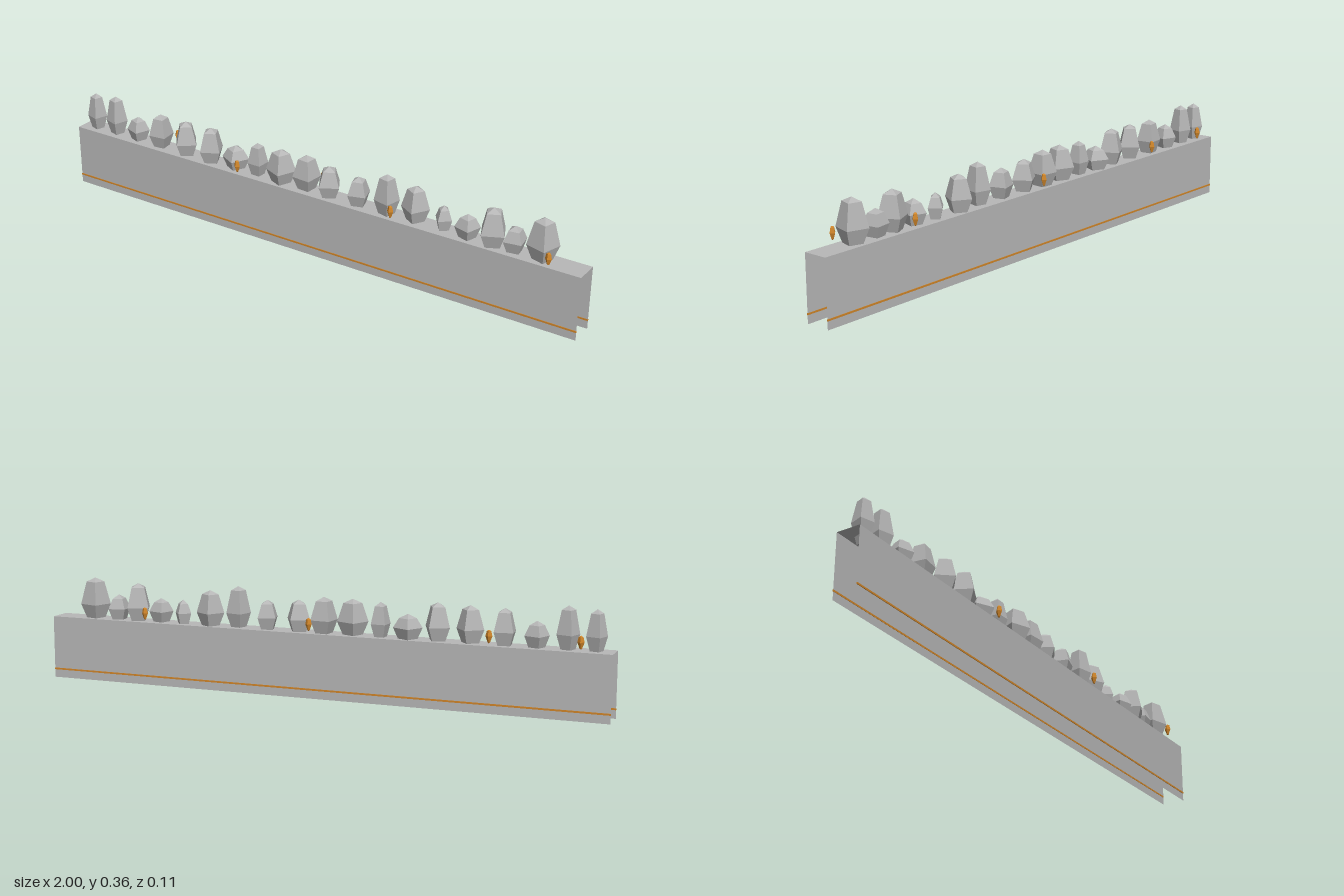
import * as THREE from 'three';

const stoneMat = new THREE.MeshStandardMaterial({ color: 0xb6b6b6, flatShading: true });
stoneMat.name = 'cut stone';
const bandMat = new THREE.MeshStandardMaterial({ color: 0xb8b8b8, side: THREE.DoubleSide });
bandMat.name = 'band grey';
const amberMat = new THREE.MeshStandardMaterial({ color: 0xd0862a, flatShading: true });
amberMat.name = 'amber';

const HALF_DEPTH = 0.042, TOP = 0.22;

// Four-sided crystal turned from a list of [radius, height] pairs
function crystal(profile, material, turn = 0) {
  const points = profile.map(([r, y]) => new THREE.Vector2(r, y));
  const mesh = new THREE.Mesh(new THREE.LatheGeometry(points, 4), material);
  mesh.rotation.y = THREE.MathUtils.degToRad(turn);
  return mesh;
}

// Large stones: x, z, top height, width across x, turn in degrees
const stones = [
  [-0.94, 0.003, 0.353, 0.062, 28], [-0.85, 0, 0.36, 0.068, 28], [-0.75, 0, 0.305, 0.074, 25],
  [-0.645, 0, 0.34, 0.07, -38], [-0.53, 0.003, 0.342, 0.096, -6], [-0.42, 0.003, 0.345, 0.092, -18],
  [-0.32, -0.004, 0.302, 0.092, 18], [-0.225, -0.002, 0.336, 0.052, 43], [-0.125, 0.003, 0.34, 0.097, 22],
  [-0.025, -0.004, 0.342, 0.074, 40], [0.068, 0, 0.327, 0.092, -14], [0.183, 0, 0.32, 0.076, -28],
  [0.293, 0.004, 0.36, 0.072, 32], [0.395, -0.006, 0.342, 0.094, 14], [0.5, -0.005, 0.303, 0.064, -6],
  [0.59, 0.003, 0.302, 0.074, 28], [0.68, 0.003, 0.35, 0.098, -20], [0.755, 0, 0.307, 0.068, -36],
  [0.85, 0, 0.362, 0.092, 28],
];

// Small amber studs: x, side (+1 front, -1 back)
const studs = [[-0.9, -1], [-0.605, -1], [-0.28, 1], [0.015, -1], [0.33, 1], [0.63, -1], [0.89, 1]];

export function createModel() {
  const group = new THREE.Group();

  // Open channel: two walls joined by a top sheet
  for (const side of [1, -1]) {
    const name = side > 0 ? 'front' : 'back';
    const wall = new THREE.Mesh(new THREE.PlaneGeometry(2, TOP), bandMat);
    wall.position.set(0, TOP / 2, side * HALF_DEPTH);
    if (side < 0) wall.rotation.y = Math.PI;
    wall.name = name + 'Wall';

    // Thin inlay line along the foot of the wall
    const line = new THREE.Mesh(new THREE.BoxGeometry(2, 0.006, 0.003), amberMat);
    line.position.set(0, 0.031, side * (HALF_DEPTH + 0.0005));
    line.name = name + 'Inlay';
    group.add(wall, line);
  }
  const sheet = new THREE.Mesh(new THREE.PlaneGeometry(2, 2 * HALF_DEPTH), bandMat);
  sheet.rotation.x = -Math.PI / 2;
  sheet.position.y = TOP;
  sheet.name = 'topSheet';
  group.add(sheet);

  // Row of stones sunk into the top sheet
  const row = new THREE.Group();
  row.name = 'stoneRow';
  for (const [x, z, top, width, turn] of stones) {
    const r = width / 2 / Math.cos(THREE.MathUtils.degToRad(turn));
    const waist = 0.262 + (top - 0.33) * 0.2;
    const stone = crystal(
      [[0, 0.19], [r * 0.42, 0.193], [r, waist], [r * 0.6, top - 0.014], [0, top]], stoneMat, turn);
    stone.position.set(x, 0, z);
    stone.name = 'stone';
    row.add(stone);
  }
  group.add(row);

  // Amber studs along both top edges
  for (const [x, side] of studs) {
    const stud = crystal(
      [[0, 0.23], [0.004, 0.233], [0.0115, 0.253], [0.0075, 0.27], [0, 0.274]], amberMat);
    stud.position.set(x, 0, side * 0.043);
    stud.name = 'amberStud';
    group.add(stud);
  }
  return group;
}
